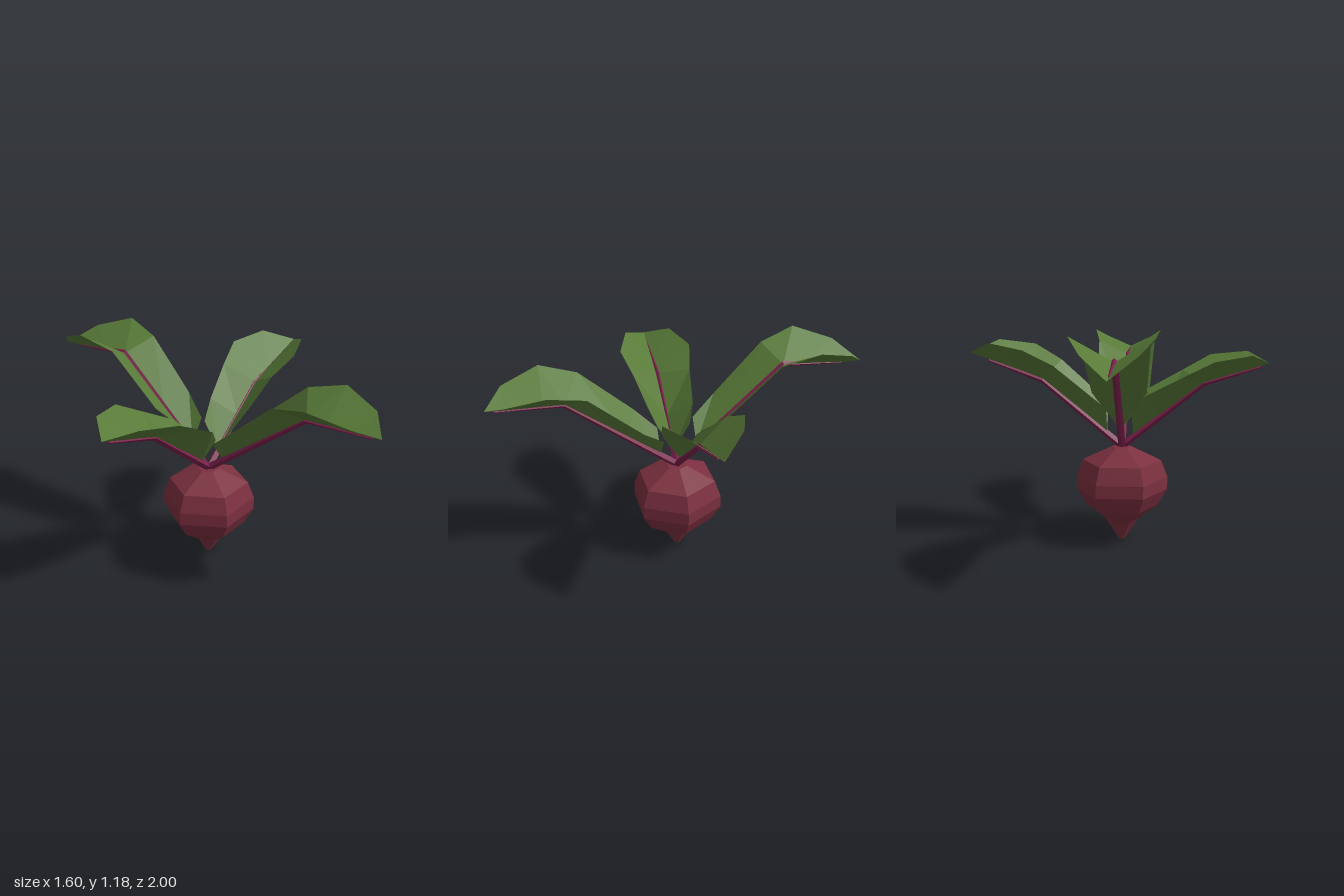
import * as THREE from 'three';

const CX = -0.02, CZ = 0.03; // vertical axis of the root

const rootRed = new THREE.MeshStandardMaterial({ color: 0x7b2f3f, flatShading: true });
rootRed.name = 'root red';
const stemPurple = new THREE.MeshStandardMaterial({ color: 0x7a1f4b, flatShading: true });
stemPurple.name = 'stem purple';
const leafGreen = new THREE.MeshStandardMaterial({ color: 0x587a38, flatShading: true, side: THREE.DoubleSide });
leafGreen.name = 'leaf green';

// Each leaf: outward axis, rows of [edge reach, edge y, half width, keel reach, keel y], tip, and stem path
const LEAVES = [
  { name: 'leftLeaf', axis: 'x', sign: 1,
    rows: [[0.06, 0.75, 0.09, 0.06, 0.608], [0.16, 0.84, 0.125, 0.235, 0.752], [0.327, 0.983, 0.16, 0.41, 0.893],
      [0.477, 1.066, 0.2, 0.515, 0.935], [0.667, 1.096, 0.13, 0.69, 0.997]],
    tip: [0.8, 1.035], stem: [[0.41, 0.888], [0.7, 0.993]] },
  { name: 'rightLeaf', axis: 'x', sign: -1,
    rows: [[0.078, 0.74, 0.09, 0.078, 0.59], [0.15, 0.825, 0.125, 0.235, 0.71], [0.345, 0.93, 0.16, 0.455, 0.877],
      [0.5, 1.013, 0.2, 0.54, 0.905], [0.697, 1.04, 0.13, 0.72, 0.962]],
    tip: [0.8, 0.988], stem: [[0.455, 0.878], [0.757, 0.968]] },
  { name: 'frontLeaf', axis: 'z', sign: 1,
    rows: [[0.118, 0.726, 0.08, 0.118, 0.614], [0.235, 0.823, 0.145, 0.29, 0.738], [0.515, 1.064, 0.165, 0.61, 0.97],
      [0.708, 1.112, 0.2, 0.715, 0.975], [0.906, 1.053, 0.13, 0.905, 0.98]],
    tip: [1, 0.985], stem: [[0.61, 0.972], [0.954, 0.978]] },
  { name: 'backLeaf', axis: 'z', sign: -1,
    rows: [[0.08, 0.764, 0.08, 0.08, 0.642], [0.214, 0.86, 0.14, 0.275, 0.81], [0.483, 1.123, 0.165, 0.552, 1.053],
      [0.675, 1.182, 0.2, 0.68, 1.046], [0.88, 1.118, 0.125, 0.88, 1.03]],
    tip: [1, 1.027], stem: [[0.552, 1.058], [0.89, 1.03]] },
];

// Outward reach s, height y and sideways offset w to a point
function place(leaf, s, y, w = 0) {
  return leaf.axis === 'x'
    ? new THREE.Vector3(leaf.sign * s, y, CZ + w)
    : new THREE.Vector3(CX + w, y, leaf.sign * s);
}

// V-shaped blade folded along its keel, closing to a point
function bladeGeometry(leaf) {
  const points = [];
  const tip = place(leaf, ...leaf.tip);
  for (const side of [-1, 1]) {
    const tri = (a, b, c) => points.push(...(side * leaf.sign > 0 ? [a, b, c] : [a, c, b]));
    const edge = leaf.rows.map(r => place(leaf, r[0], r[1], side * r[2]));
    const keel = leaf.rows.map(r => place(leaf, r[3], r[4]));
    for (let i = 0; i < edge.length - 1; i++) {
      tri(keel[i], edge[i], edge[i + 1]);
      tri(keel[i], edge[i + 1], keel[i + 1]);
    }
    tri(keel[keel.length - 1], edge[edge.length - 1], tip);
  }
  const geometry = new THREE.BufferGeometry().setFromPoints(points);
  geometry.computeVertexNormals();
  return geometry;
}

// Four-sided tapering stem that bends once and runs on as the midrib
function stemGeometry(leaf) {
  const start = new THREE.Vector3(CX, 0.53, CZ);
  const path = [start, ...leaf.stem.map(p => place(leaf, ...p))];
  const radii = [0.02, 0.016, 0.006];
  const first = path[1].clone().sub(path[0]).normalize();
  const last = path[2].clone().sub(path[1]).normalize();
  const tangents = [first, first.clone().add(last).normalize(), last];
  const geometry = new THREE.CylinderGeometry(1, 1, 2, 4, 2).toNonIndexed();
  const pos = geometry.attributes.position;
  for (let i = 0; i < pos.count; i++) {
    const ring = Math.round(pos.getY(i)) + 1;
    const t = tangents[ring];
    const across = new THREE.Vector3().crossVectors(t, new THREE.Vector3(0, 1, 0)).normalize();
    const normal = new THREE.Vector3().crossVectors(across, t);
    const p = path[ring].clone()
      .addScaledVector(across, pos.getX(i) * radii[ring])
      .addScaledVector(normal, pos.getZ(i) * radii[ring]);
    pos.setXYZ(i, p.x, p.y, p.z);
  }
  geometry.computeVertexNormals();
  return geometry;
}

function addMesh(parent, name, geometry, material) {
  const mesh = new THREE.Mesh(geometry, material);
  mesh.name = name;
  parent.add(mesh);
  return mesh;
}

export function createModel() {
  const model = new THREE.Group();
  model.name = 'rootVegetable';

  // Six-sided root with a pointed base and a flat crown
  const profile = [[0, 0], [0.017, 0], [0.09, 0.115], [0.2, 0.2], [0.25, 0.29], [0.25, 0.36],
    [0.215, 0.452], [0.056, 0.527], [0, 0.527]].map(([r, y]) => new THREE.Vector2(r, y));
  const root = addMesh(model, 'root', new THREE.LatheGeometry(profile, 6, Math.PI / 2), rootRed);
  root.position.set(CX, 0, CZ);

  // Four leaves, each a stem and a blade
  for (const leaf of LEAVES) {
    const group = new THREE.Group();
    group.name = leaf.name;
    addMesh(group, 'stem', stemGeometry(leaf), stemPurple);
    addMesh(group, 'blade', bladeGeometry(leaf), leafGreen);
    model.add(group);
  }
  return model;
}
